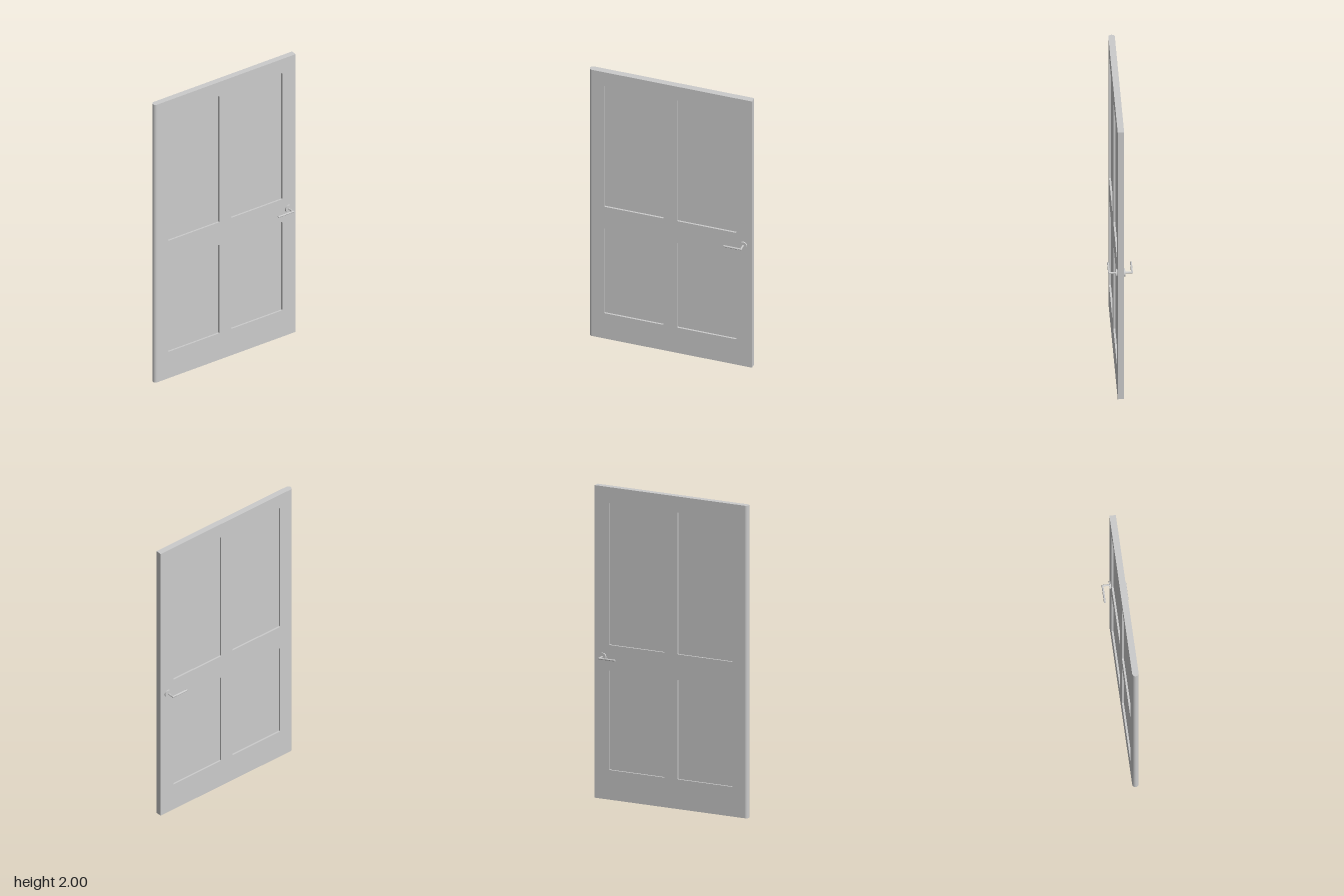
import * as THREE from 'three';

const material = new THREE.MeshStandardMaterial({ color: 0xcccccc });
const flatMaterial = new THREE.MeshStandardMaterial({ color: 0xcccccc, flatShading: true });

const HALF_W = 0.534, HEIGHT = 2, HALF_T = 0.02, RECESS = 0.012;
const PANEL_X = [[-0.432, -0.045], [0.045, 0.432]];
const PANEL_Y = [[0.19, 0.828], [0.99, 1.9]];
const HANDLE = { x: 0.477, y: 0.91, z: 0.071, tip: 0.365, r: 0.006 };

function addMesh(parent, name, geometry, mat = material) {
  const mesh = new THREE.Mesh(geometry, mat);
  mesh.name = name;
  parent.add(mesh);
  return mesh;
}

// Rectangle with slightly rounded corners
function roundedRect(target, [x0, x1], [y0, y1], r) {
  target.absarc(x0 + r, y0 + r, r, Math.PI, 1.5 * Math.PI);
  target.absarc(x1 - r, y0 + r, r, 1.5 * Math.PI, 2 * Math.PI);
  target.absarc(x1 - r, y1 - r, r, 0, 0.5 * Math.PI);
  target.absarc(x0 + r, y1 - r, r, 0.5 * Math.PI, Math.PI);
  target.closePath();
  return target;
}

// Lever handle on one face; side is +1 for the front, -1 for the back
function makeHandle(side) {
  const handle = new THREE.Group();
  handle.name = side > 0 ? 'frontHandle' : 'backHandle';
  const { x, y, z, tip, r } = HANDLE;

  const rose = new THREE.CylinderGeometry(0.025, 0.025, 0.009, 32);
  rose.rotateX(Math.PI / 2).translate(x, y, side * (HALF_T + 0.0045));
  addMesh(handle, 'rose', rose);

  // Shaft and lever meet in a mitred corner
  const shaft = new THREE.CylinderGeometry(r, r, z - HALF_T, 8);
  shaft.rotateX(Math.PI / 2).translate(x, y, side * (z + HALF_T) / 2);
  const lever = new THREE.CylinderGeometry(r, r, x - tip, 8);
  lever.rotateZ(Math.PI / 2).translate((x + tip) / 2, y, side * z);
  const sp = shaft.attributes.position, lp = lever.attributes.position;
  for (let i = 0; i < sp.count; i++) {
    if (side * sp.getZ(i) > z - 0.001) sp.setZ(i, side * (z + sp.getX(i) - x));
  }
  for (let i = 0; i < lp.count; i++) {
    if (lp.getX(i) > x - 0.001) lp.setX(i, x + side * lp.getZ(i) - z);
  }
  addMesh(handle, 'shaft', shaft, flatMaterial);
  addMesh(handle, 'lever', lever, flatMaterial);
  return handle;
}

export function createModel() {
  const door = new THREE.Group();
  door.name = 'door';

  // Frame with four openings
  const x0 = -HALF_W + HALF_T;
  const outline = new THREE.Shape();
  outline.moveTo(x0, 0).lineTo(HALF_W, 0).lineTo(HALF_W, HEIGHT).lineTo(x0, HEIGHT).closePath();
  for (const px of PANEL_X) for (const py of PANEL_Y) {
    outline.holes.push(roundedRect(new THREE.Path(), px, py, 0.005));
  }
  const frame = new THREE.ExtrudeGeometry(outline, { depth: 2 * HALF_T, bevelEnabled: false, curveSegments: 4 });
  addMesh(door, 'frame', frame.translate(0, 0, -HALF_T));

  // Half-round hinge edge
  const edge = new THREE.CylinderGeometry(HALF_T, HALF_T, HEIGHT, 16, 1, false, Math.PI, Math.PI);
  addMesh(door, 'hingeEdge', edge.translate(x0, HEIGHT / 2, 0));

  // Recessed panels
  const thickness = 2 * (HALF_T - RECESS);
  for (const [a, b] of PANEL_X) for (const [c, d] of PANEL_Y) {
    const panel = addMesh(door, 'panel', new THREE.BoxGeometry(b - a, d - c, thickness));
    panel.position.set((a + b) / 2, (c + d) / 2, 0);
  }

  door.add(makeHandle(1), makeHandle(-1));
  return door;
}
